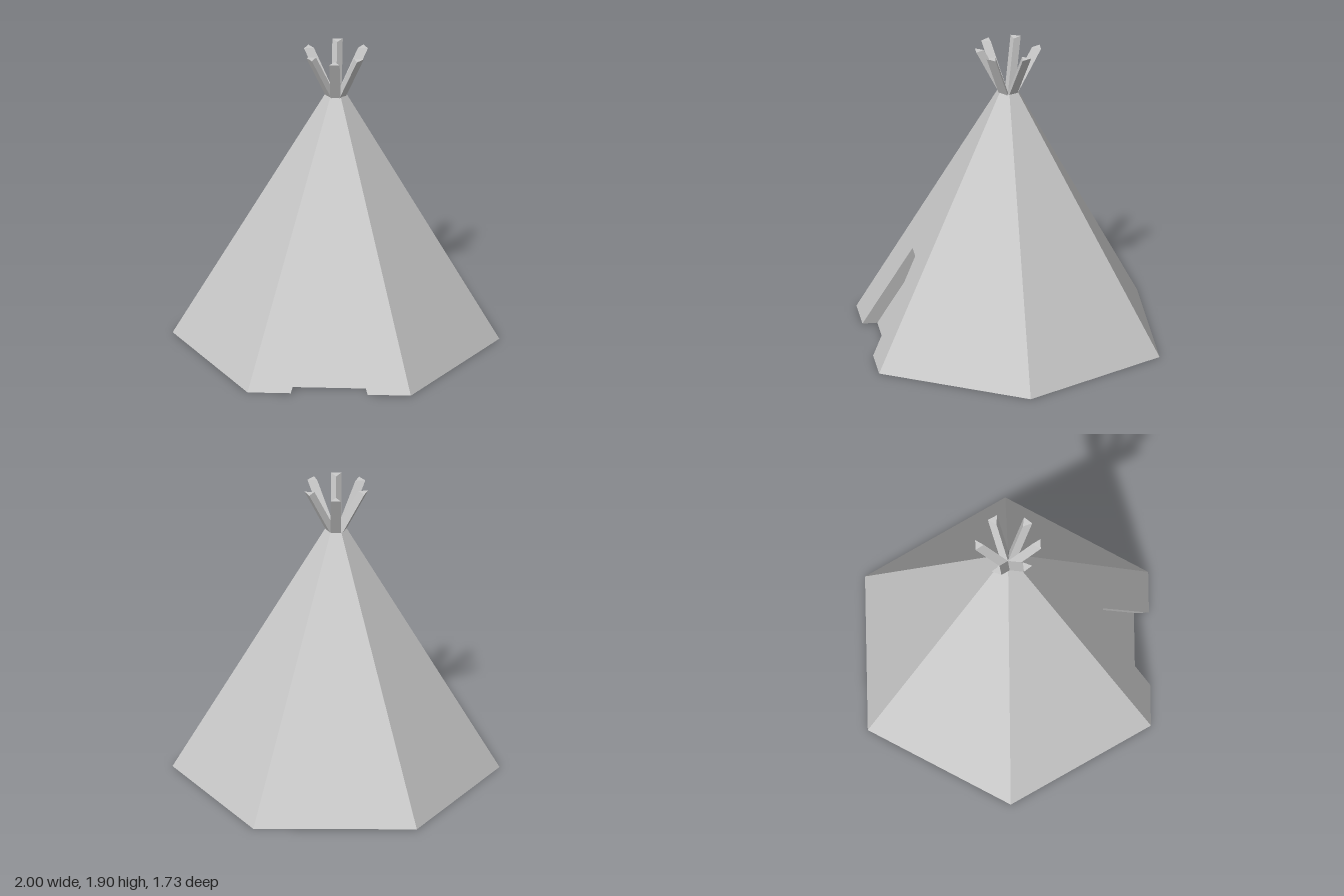
import * as THREE from 'three';

const BASE_R = 1, TOP_R = 0.065, WALL_H = 1.625, POLE_TOP = 1.905;
const APOTHEM = Math.sqrt(3) / 2;
const SLOPE = (BASE_R - TOP_R) * APOTHEM / WALL_H;
const RECESS = 0.092;

const material = new THREE.MeshStandardMaterial({
  color: 0xcccccc, flatShading: true, side: THREE.DoubleSide,
});

// Depth of the sloping wall plane at height y
const wallZ = (y) => BASE_R * APOTHEM - SLOPE * y;

// Flat outline laid onto the sloping wall plane
function slopedPanel(points, inset = 0) {
  const shape = new THREE.Shape(points.map(([x, y]) => new THREE.Vector2(x, y)));
  const geometry = new THREE.ShapeGeometry(shape);
  const p = geometry.attributes.position;
  for (let i = 0; i < p.count; i++) p.setZ(i, wallZ(p.getY(i)) - inset);
  geometry.computeVertexNormals();
  return geometry;
}

// Strip running along the door outline, from the wall to the recessed panel
function doorFrame(points) {
  const pos = [];
  for (let i = 0; i < points.length - 1; i++) {
    const [[ax, ay], [bx, by]] = [points[i], points[i + 1]];
    const a = [ax, ay, wallZ(ay)], b = [bx, by, wallZ(by)];
    const c = [bx, by, wallZ(by) - RECESS], d = [ax, ay, wallZ(ay) - RECESS];
    pos.push(...a, ...b, ...c, ...a, ...c, ...d);
  }
  const geometry = new THREE.BufferGeometry();
  geometry.setAttribute('position', new THREE.Float32BufferAttribute(pos, 3));
  geometry.computeVertexNormals();
  return geometry;
}

// Triangular pole leaning outward, flat side facing out
function poleGeometry() {
  const y0 = 1.61, height = POLE_TOP - y0;
  const section = new THREE.Shape([
    new THREE.Vector2(-0.032, 0), new THREE.Vector2(0.032, 0), new THREE.Vector2(0, 0.052),
  ]);
  const geometry = new THREE.ExtrudeGeometry(section, { depth: height, bevelEnabled: false });
  geometry.rotateX(-Math.PI / 2);
  const p = geometry.attributes.position;
  for (let i = 0; i < p.count; i++) {
    const y = p.getY(i);
    p.setXYZ(i, p.getX(i), y + y0, p.getZ(i) + 0.052 + (0.148 * y) / height);
  }
  geometry.computeVertexNormals();
  return geometry;
}

export function createModel() {
  const group = new THREE.Group();
  const add = (name, geometry, angle = 0) => {
    const mesh = new THREE.Mesh(geometry, material);
    mesh.name = name;
    mesh.rotation.y = angle;
    group.add(mesh);
  };

  // Five plain walls around the hexagon
  const b = BASE_R / 2, t = TOP_R / 2;
  const wall = slopedPanel([[-b, 0], [b, 0], [t, WALL_H], [-t, WALL_H]]);
  for (let i = 1; i < 6; i++) add('wall' + i, wall, (i * Math.PI) / 3);

  // Front wall with the doorway cut out, and the recessed door behind it
  const door = [[-0.235, 0], [-0.06, 0.572], [0.06, 0.572], [0.235, 0]];
  add('frontWall', slopedPanel([[-b, 0], ...door, [b, 0], [t, WALL_H], [-t, WALL_H]]));
  add('doorFrame', doorFrame(door));
  add('doorPanel', slopedPanel(door, RECESS));

  // Pole ends fanning out at the top, slightly unevenly spaced
  const pole = poleGeometry();
  [0, 51, 117.5, 180, 248.5, 307].forEach((deg, i) =>
    add('pole' + (i + 1), pole, THREE.MathUtils.degToRad(deg)));

  return group;
}
